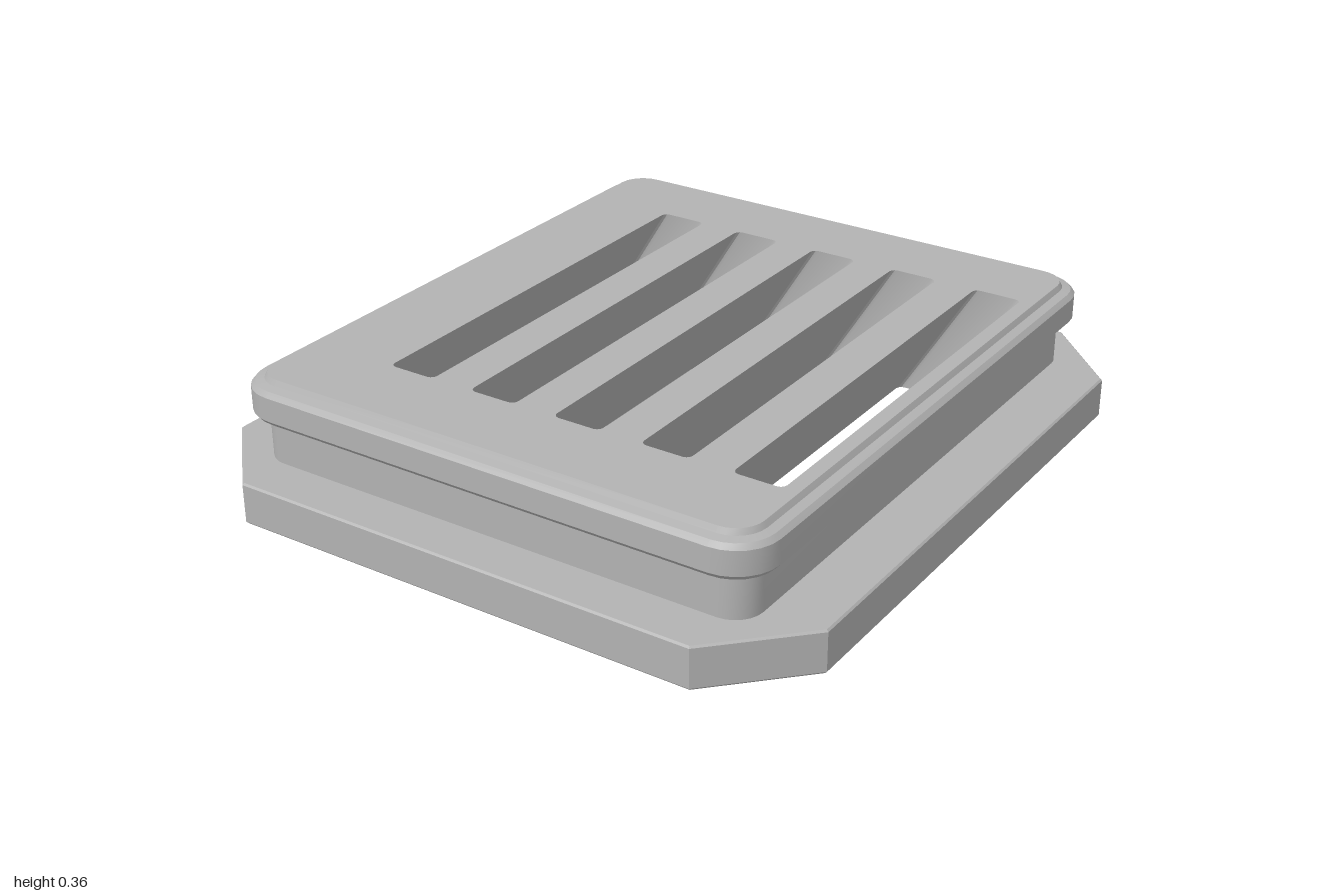
import * as THREE from 'three';
import { mergeGeometries, toCreasedNormals } from 'three/addons/utils/BufferGeometryUtils.js';

const HEIGHT = 0.36;
const SLOT_SHIFT = 0.22; // how far each slot leans sideways over the full height
const SLOT_CENTRES = [-0.41, -0.15, 0.11, 0.37, 0.63];

// Counter-clockwise rounded rectangle outline
function roundedRect(hx, hz, r, cx = 0, steps = 6) {
  const pts = [];
  [[1, 1], [-1, 1], [-1, -1], [1, -1]].forEach(([sx, sz], q) => {
    for (let i = 0; i <= steps; i++) {
      const a = (q + i / steps) * Math.PI / 2;
      pts.push(new THREE.Vector2(cx + sx * (hx - r) + r * Math.cos(a), sz * (hz - r) + r * Math.sin(a)));
    }
  });
  return pts;
}

// Counter-clockwise rectangle outline with clipped corners
function octagon(inset) {
  const x = 0.905 - inset, z = 1 - inset, cx = 0.68 - inset * 0.4, cz = 0.77 - inset * 0.4;
  return [[x, -cz], [x, cz], [cx, z], [-cx, z], [-x, cz], [-x, -cz], [-cx, -z], [cx, -z]]
    .map(([a, b]) => new THREE.Vector2(a, b));
}

// Wall joining a stack of outlines: [{ pts, y }]
function loft(rings) {
  const pos = [], n = rings[0].pts.length;
  const put = (ring, i) => pos.push(ring.pts[i % n].x, ring.y, -ring.pts[i % n].y);
  for (let k = 0; k < rings.length - 1; k++) {
    const lo = rings[k], hi = rings[k + 1];
    for (let i = 0; i < n; i++) {
      put(lo, i); put(lo, i + 1); put(hi, i + 1);
      put(lo, i); put(hi, i + 1); put(hi, i);
    }
  }
  const g = new THREE.BufferGeometry();
  g.setAttribute('position', new THREE.Float32BufferAttribute(pos, 3));
  return g;
}

// Flat horizontal face with holes, facing up or down
function cap(outline, holes, y, up) {
  const shape = new THREE.Shape(outline);
  shape.holes = holes.map((h) => new THREE.Path(h));
  const g = new THREE.ShapeGeometry(shape).toNonIndexed();
  g.deleteAttribute('uv');
  g.deleteAttribute('normal');
  return g.rotateX(up ? -Math.PI / 2 : Math.PI / 2).translate(0, y, 0);
}

function slotOutline(cx, y) {
  return roundedRect(0.07, 0.635, 0.018, cx - SLOT_SHIFT * (1 - y / HEIGHT), 3);
}

function slots(y) {
  return SLOT_CENTRES.map((cx) => slotOutline(cx, y));
}

export function createModel() {
  const group = new THREE.Group();
  const grey = new THREE.MeshStandardMaterial({ color: 0xb2b2b2 });
  grey.name = 'plain grey';

  const add = (name, parts) => {
    const mesh = new THREE.Mesh(toCreasedNormals(mergeGeometries(parts), 0.45), grey);
    mesh.name = name;
    group.add(mesh);
  };

  // Outline of the upper block, inset from its widest part
  const block = (inset) => roundedRect(0.785 - inset, 0.905 - inset, 0.12 - inset);

  // Base plate with clipped corners
  add('basePlate', [
    cap(octagon(0.008), slots(0), 0, false),
    loft([
      { pts: octagon(0.008), y: 0 },
      { pts: octagon(0), y: 0.008 },
      { pts: octagon(0), y: 0.115 },
      { pts: octagon(0.005), y: 0.12 },
    ]),
    cap(octagon(0.005), [block(0.042)], 0.12, true),
  ]);

  // Recessed neck between base and lid
  add('neck', [loft([{ pts: block(0.042), y: 0.12 }, { pts: block(0.042), y: 0.243 }])]);

  // Overhanging lid with a bevelled rim
  const rim = [[0.042, 0.243], [0.012, 0.246], [0, 0.26], [0, 0.327], [0.012, 0.34], [0.036, 0.345], [0.044, HEIGHT]];
  add('lid', [
    loft(rim.map(([inset, y]) => ({ pts: block(inset), y }))),
    cap(block(0.044), slots(HEIGHT), HEIGHT, true),
  ]);

  // Slanted slots running right through
  SLOT_CENTRES.forEach((cx, i) => {
    const ring = (y) => ({ pts: slotOutline(cx, y).reverse(), y });
    add('slot' + (i + 1), [loft([ring(0), ring(HEIGHT)])]);
  });

  return group;
}
